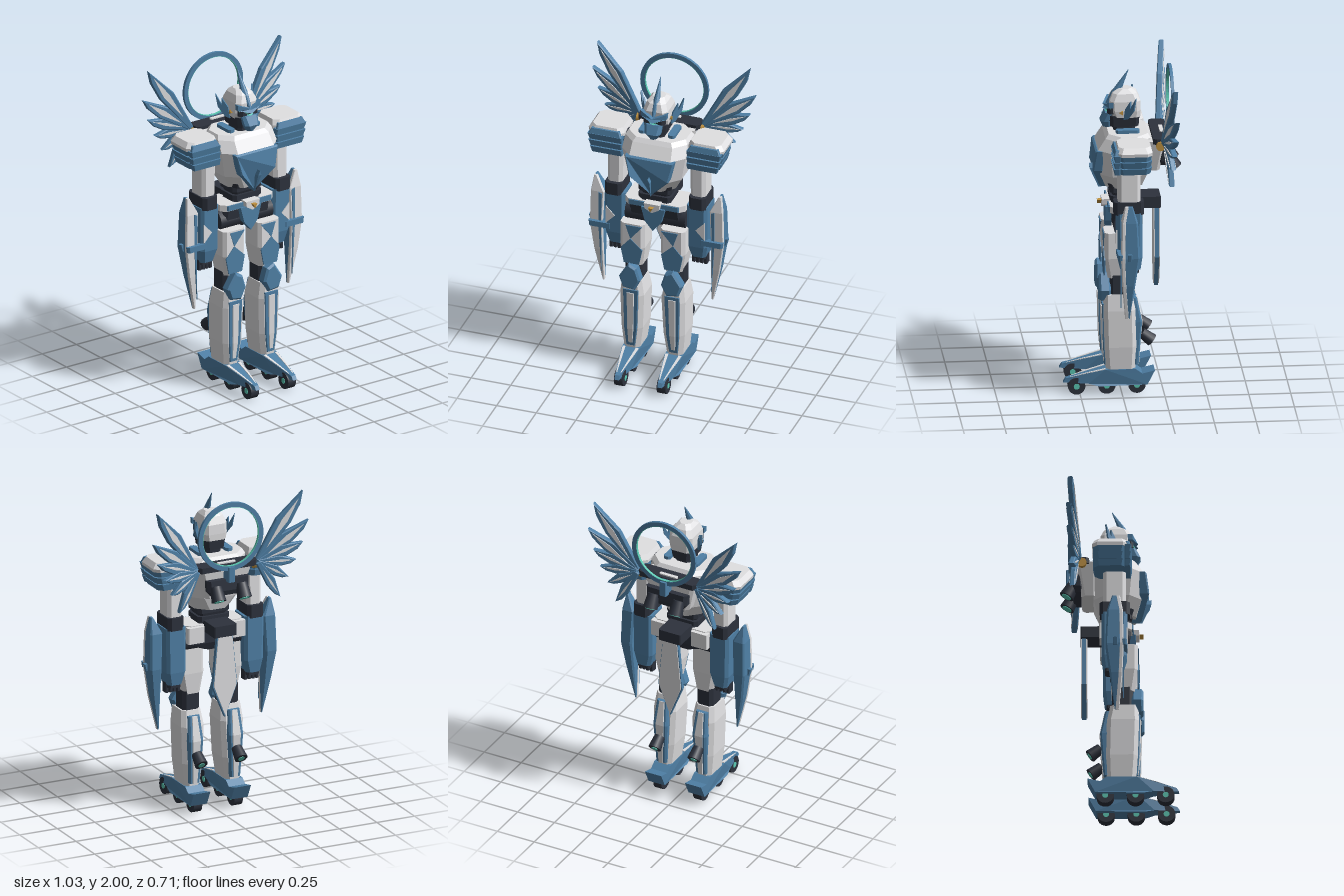
import * as THREE from 'three';

const mat = (name, color) => {
  const m = new THREE.MeshStandardMaterial({ color });
  m.name = name;
  return m;
};
const light = mat('light grey armour', 0xe0e0e2);
const blue = mat('steel blue armour', 0x4f80a6);
const dark = mat('dark frame', 0x2d323d);
const teal = mat('teal glow', 0x5cc9b4);
const gold = mat('gold fittings', 0xbf9140);

const flat = (g) => {
  const n = g.index ? g.toNonIndexed() : g;
  n.computeVertexNormals();
  return n;
};

// Moves each vertex by a rule, then restores flat normals
function bend(geometry, rule) {
  const p = geometry.attributes.position;
  const v = new THREE.Vector3();
  for (let i = 0; i < p.count; i++) {
    rule(v.fromBufferAttribute(p, i));
    p.setXYZ(i, v.x, v.y, v.z);
  }
  return flat(geometry);
}

// Chamfered rectangles [y, x0, x1, z0, z1] joined from bottom to top
function loft(sections, chamfer = 0.02) {
  const rings = sections.map(([y, x0, x1, z0, z1]) => {
    const c = Math.min(chamfer, (x1 - x0) * 0.35, (z1 - z0) * 0.35);
    return [[x1 - c, z1], [x1, z1 - c], [x1, z0 + c], [x1 - c, z0],
      [x0 + c, z0], [x0, z0 + c], [x0, z1 - c], [x0 + c, z1]].map(([x, z]) => [x, y, z]);
  });
  const p = [];
  const tri = (a, b, c) => p.push(...a, ...b, ...c);
  for (let k = 0; k < rings.length - 1; k++) {
    const a = rings[k], b = rings[k + 1];
    for (let i = 0; i < 8; i++) {
      const j = (i + 1) % 8;
      tri(a[i], a[j], b[j]);
      tri(a[i], b[j], b[i]);
    }
  }
  const bottom = rings[0], top = rings[rings.length - 1];
  for (let i = 1; i < 7; i++) {
    tri(top[0], top[i], top[i + 1]);
    tri(bottom[0], bottom[i + 1], bottom[i]);
  }
  const g = new THREE.BufferGeometry();
  g.setAttribute('position', new THREE.Float32BufferAttribute(p, 3));
  return flat(g);
}

// Outline in x, y extruded forward from z
function plate(points, z, depth, bevel = 0) {
  const shape = new THREE.Shape(points.map(([x, y]) => new THREE.Vector2(x, y)));
  const g = new THREE.ExtrudeGeometry(shape, { depth, bevelEnabled: bevel > 0,
    bevelSize: bevel, bevelThickness: bevel, bevelOffset: -bevel, bevelSegments: 1 });
  return flat(g.translate(0, 0, z));
}
// Outline in z, y extruded across x about a centre
const sidePlate = (points, x, width) =>
  plate(points, -width / 2, width).rotateY(-Math.PI / 2).translate(x, 0, 0);

// Flat ring facing z, centred on its depth
function ring(outer, inner, depth) {
  const shape = new THREE.Shape().absarc(0, 0, outer, 0, Math.PI * 2);
  shape.holes.push(new THREE.Path().absarc(0, 0, inner, 0, Math.PI * 2, true));
  return new THREE.ExtrudeGeometry(shape, { depth, bevelEnabled: false, curveSegments: 32 }).translate(0, 0, -depth / 2);
}

const box = (x0, x1, y0, y1, z0, z1, c = 0.006) => loft([[y0, x0, x1, z0, z1], [y1, x0, x1, z0, z1]], c);

function add(parent, name, geometry, material, position, rotation) {
  const m = new THREE.Mesh(geometry, material);
  m.name = name;
  if (position) m.position.set(...position);
  if (rotation) m.rotation.set(...rotation);
  parent.add(m);
}

// Reflected copy with corner order reversed
function mirror(group) {
  const out = new THREE.Group();
  out.name = group.name.replace('left', 'right');
  group.updateMatrixWorld(true);
  group.traverse((o) => {
    if (!o.isMesh) return;
    const g = o.geometry.index ? o.geometry.toNonIndexed() : o.geometry.clone();
    g.applyMatrix4(o.matrixWorld);
    for (const key of ['position', 'normal']) {
      const a = g.attributes[key].array;
      for (let i = 0; i < a.length; i += 3) a[i] *= -1;
      for (let i = 0; i < a.length; i += 9) {
        for (let k = 3; k < 6; k++) [a[i + k], a[i + k + 3]] = [a[i + k + 3], a[i + k]];
      }
    }
    add(out, o.name, g, o.material);
  });
  return out;
}

function buildHead() {
  const h = new THREE.Group();
  h.name = 'head';
  add(h, 'neck', box(-0.05, 0.05, 1.58, 1.72, -0.09, 0.04, 0.02), dark);
  add(h, 'jaw', loft([[1.64, -0.06, 0.06, -0.11, 0.06], [1.71, -0.07, 0.07, -0.115, 0.065]]), dark);
  add(h, 'helmet', loft([[1.7, -0.072, 0.072, -0.12, 0.045], [1.74, -0.078, 0.078, -0.122, 0.06],
    [1.8, -0.076, 0.076, -0.12, 0.064], [1.845, -0.06, 0.06, -0.1, 0.045], [1.87, -0.038, 0.038, -0.07, 0.01]], 0.025), light);
  add(h, 'faceMask', loft([[1.63, -0.025, 0.025, 0.05, 0.1], [1.67, -0.05, 0.05, 0.05, 0.118],
    [1.725, -0.055, 0.055, 0.04, 0.09]]), blue);
  add(h, 'eyeSocket', box(-0.068, 0.068, 1.722, 1.765, 0.03, 0.077, 0.02), dark);
  const sweep = (v) => { v.z -= Math.abs(v.x) * 0.4; };
  add(h, 'visor', bend(plate([[-0.068, 1.76], [-0.064, 1.738], [0, 1.724], [0.064, 1.738], [0.068, 1.76], [0, 1.742]], 0.08, 0.009), sweep), teal);
  add(h, 'brow', bend(plate([[-0.082, 1.8], [-0.08, 1.765], [0, 1.742], [0.08, 1.765], [0.082, 1.8],
    [0, 1.77]], 0.075, 0.028), sweep), blue);
  add(h, 'crest', loft([[1.775, -0.008, 0.008, 0.05, 0.085], [1.84, -0.021, 0.021, -0.005, 0.052],
    [1.98, -0.001, 0.001, -0.054, -0.05]], 0.02), blue);
  return h;
}

function buildTorso() {
  const t = new THREE.Group();
  t.name = 'torso';
  add(t, 'chest', loft([[1.27, -0.12, 0.12, -0.13, 0.09], [1.36, -0.17, 0.17, -0.16, 0.125],
    [1.52, -0.2, 0.2, -0.175, 0.14], [1.59, -0.195, 0.195, -0.175, 0.095], [1.615, -0.18, 0.18, -0.16, 0.075]], 0.07), light);
  // The shield curves back toward its top and its point
  const curve = (v) => { v.z -= 2 * (v.y - 1.42) ** 2; };
  add(t, 'chestShield', bend(plate([[-0.155, 1.52], [-0.125, 1.39], [0, 1.25], [0.125, 1.39], [0.155, 1.52]], 0.12, 0.045, 0.008), curve), blue);
  add(t, 'chestRidge', bend(plate([[-0.012, 1.37], [0, 1.25], [0.012, 1.37], [0, 1.4]], 0.155, 0.03), curve), blue);
  add(t, 'waist', loft([[1.15, -0.1, 0.1, -0.09, 0.06], [1.22, -0.09, 0.09, -0.08, 0.05], [1.3, -0.11, 0.11, -0.1, 0.08]]), dark);
  for (const y of [1.19, 1.24]) add(t, 'waistRing', box(-0.105, 0.105, y, y + 0.03, -0.095, 0.065, 0.02), dark);
  add(t, 'belt', box(-0.19, 0.19, 1.135, 1.175, -0.1, 0.07, 0.03), light);
  add(t, 'beltFront', box(-0.16, 0.16, 1.14, 1.172, 0.05, 0.078), blue);
  add(t, 'buckle', plate([[-0.05, 1.185], [-0.045, 1.15], [0, 1.125], [0.045, 1.15], [0.05, 1.185]], 0.06, 0.05), light);
  add(t, 'beltGem', plate([[-0.015, 1.17], [0, 1.145], [0.015, 1.17]], 0.11, 0.025), gold);
  add(t, 'pelvis', loft([[1, -0.05, 0.05, -0.07, 0.02], [1.05, -0.17, 0.17, -0.09, 0.05], [1.14, -0.16, 0.16, -0.09, 0.06]]), dark);
  add(t, 'pelvisGuard', plate([[-0.075, 1.145], [-0.05, 1.05], [0, 0.99], [0.05, 1.05], [0.075, 1.145]], 0.05, 0.04), blue);
  add(t, 'backBracket', box(-0.075, 0.075, 1.13, 1.2, -0.24, -0.08), dark);
  const tail = [[-0.05, 1.14], [-0.08, 0.82], [0, 0.62], [0.08, 0.82], [0.05, 1.14]];
  add(t, 'backSkirt', plate(tail, -0.23, 0.025), blue);
  const panel = tail.map(([x, y]) => [x * 0.93, 0.9 + (y - 0.9) * 0.96]);
  add(t, 'backSkirtPanel', plate(panel, -0.236, 0.006), light);
  add(t, 'backSkirtLining', plate(panel, -0.205, 0.006), light);
  // Backpack and halo
  add(t, 'backpackMount', loft([[1.38, -0.12, 0.12, -0.23, -0.14], [1.58, -0.175, 0.175, -0.262, -0.14]]), light);
  add(t, 'backpackLid', box(-0.195, 0.195, 1.565, 1.6, -0.28, -0.185, 0.02), dark);
  add(t, 'backpack', loft([[1.41, -0.11, 0.11, -0.28, -0.22], [1.44, -0.135, 0.135, -0.29, -0.22], [1.51, -0.14, 0.14, -0.285, -0.22]]), dark);
  add(t, 'backpackPanel', box(-0.06, 0.06, 1.6, 1.608, -0.258, -0.235), light);
  add(t, 'haloMount', box(-0.022, 0.022, 1.5, 1.595, -0.325, -0.25), blue);
  add(t, 'halo', ring(0.215, 0.187, 0.018), blue, [0, 1.785, -0.302]);
  add(t, 'haloGlow', ring(0.19, 0.184, 0.016), teal, [0, 1.785, -0.302]);
  return t;
}

function buildWing(side) {
  // Layered feathers fanned from the hub: [angle in degrees, length, half width]
  [[55.5, 0.505, 0.046], [36, 0.395, 0.042], [19, 0.3, 0.04], [-2, 0.24, 0.034], [-30, 0.22, 0.032], [-59, 0.27, 0.032]]
    .forEach(([angle, L, w], i) => {
      const feather = new THREE.Group();
      feather.name = 'feather';
      feather.position.set(0.2, 1.58, -0.247 - i * 0.003);
      feather.rotation.set(0, 0.16, THREE.MathUtils.degToRad(angle), 'YXZ');
      const outline = [[0, -0.015], [L * 0.6, -w], [L * 0.85, -w * 0.7], [L, 0], [L * 0.55, w], [0, 0.015]];
      add(feather, 'featherBlade', plate(outline, -0.011, 0.022, 0.006), blue);
      const k = i < 2 ? 1 : 0.55;
      const inlay = [[L * 0.2, 0], [L * 0.6, -w * 0.45 * k], [L * 0.9, 0], [L * 0.58, w * 0.35 * k]];
      for (const z of [-0.021, 0.017]) add(feather, 'featherInlay', plate(inlay, z, 0.004), light);
      side.add(feather);
    });
  add(side, 'wingHub', new THREE.CylinderGeometry(0.028, 0.028, 0.026, 12), gold, [0.198, 1.56, -0.228], [0, 0, Math.PI / 2]);
  add(side, 'thruster', new THREE.CylinderGeometry(0.035, 0.045, 0.09, 16), dark, [0.085, 1.43, -0.3], [0.5, 0, 0]);
  add(side, 'thrusterGlow', new THREE.CylinderGeometry(0.03, 0.03, 0.008, 16), teal, [0.085, 1.39, -0.322], [0.5, 0, 0]);
}

function buildArm(side) {
  add(side, 'shoulderJoint', new THREE.CylinderGeometry(0.06, 0.06, 0.06, 12), dark, [0.2, 1.53, -0.04], [0, 0, Math.PI / 2]);
  add(side, 'shoulderCap', loft([[1.57, 0.203, 0.425, -0.163, 0.052], [1.59, 0.203, 0.428, -0.163, 0.052],
    [1.622, 0.215, 0.405, -0.15, 0.04]], 0.03), light);
  [[1.45, 0.408], [1.493, 0.418], [1.536, 0.424]].forEach(([y, x]) => {
    add(side, 'shoulderLayer', loft([[y, 0.205, x - 0.012, -0.152, 0.04], [y + 0.04, 0.205, x, -0.16, 0.048]], 0.03), blue);
    add(side, 'shoulderFront', loft([[y, 0.205, x - 0.014, 0.03, 0.063], [y + 0.04, 0.205, x - 0.003, 0.03, 0.071]], 0.005), blue);
  });
  add(side, 'shoulderTrim', loft([[1.575, 0.21, 0.415, 0.045, 0.068], [1.608, 0.225, 0.4, 0.035, 0.058]], 0.004), blue);
  add(side, 'upperArm', loft([[1.24, 0.215, 0.31, -0.1, 0.035], [1.46, 0.21, 0.31, -0.1, 0.035]]), light);
  add(side, 'elbow', box(0.212, 0.318, 1.17, 1.25, -0.12, 0.06, 0.02), dark);
  add(side, 'forearm', loft([[0.82, 0.215, 0.305, -0.1, 0.02], [0.9, 0.195, 0.32, -0.11, 0.04], [1.18, 0.195, 0.325, -0.11, 0.045]], 0.018), blue);
  add(side, 'forearmInlay', plate([[0.312, 1.08], [0.312, 0.96], [0.255, 1.02]], 0.041, 0.007), light);
  add(side, 'hand', box(0.22, 0.3, 0.8, 0.84, -0.09, 0, 0.01), dark);
  for (let i = 0; i < 4; i++) add(side, 'finger', box(0.213 + i * 0.025, 0.233 + i * 0.025, 0.765, 0.83, -0.06, -0.01, 0.004), dark);
  // Forearm blade with a pale leading edge
  const blade = [[0.53, 0.34, 0.347, -0.03, -0.015], [0.75, 0.342, 0.395, -0.06, 0.004], [0.93, 0.345, 0.42, -0.085, 0.012],
    [1.15, 0.335, 0.415, -0.075, 0.008], [1.25, 0.385, 0.4, -0.045, -0.01]];
  add(side, 'armBlade', loft(blade, 0.01), blue);
  add(side, 'armBladeEdge', loft(blade.map(([y, a, b, , z]) => [y, a - 0.001, b + 0.001, z - 0.012, z + 0.012]), 0.004), light);
  add(side, 'armBladeLine', plate([[0.347, 0.6], [0.366, 0.93], [0.366, 1.15], [0.345, 1.14], [0.35, 0.93]], 0.018, 0.008), blue);
  add(side, 'bladeClasp', loft([[0.92, 0.28, 0.42, 0.01, 0.045], [0.955, 0.28, 0.425, 0.01, 0.045]], 0.01), blue);
  add(side, 'bladeSpike', loft([[0.915, 0.4, 0.428, -0.038, -0.012], [0.96, 0.4, 0.44, -0.038, -0.012]], 0.004), blue);
}

function buildLeg(side) {
  add(side, 'hipJoint', new THREE.CylinderGeometry(0.065, 0.065, 0.14, 12), dark, [0.12, 1.06, -0.01], [0, 0, Math.PI / 2]);
  add(side, 'hipPlate', box(0.08, 0.19, 1.07, 1.17, -0.125, -0.085), light);
  add(side, 'thigh', loft([[0.73, 0.07, 0.18, -0.05, 0.085], [0.86, 0.05, 0.205, -0.06, 0.105], [1.02, 0.05, 0.205, -0.055, 0.105]]), light);
  add(side, 'thighUpperInlay', plate([[0.06, 1.01], [0.135, 0.92], [0.165, 1.01]], 0.102, 0.008), blue);
  add(side, 'thighLowerInlay', plate([[0.06, 0.85], [0.08, 0.75], [0.175, 0.75], [0.195, 0.85], [0.135, 0.92]], 0.102, 0.008), blue);
  add(side, 'knee', box(0.075, 0.185, 0.61, 0.75, -0.05, 0.075, 0.02), dark);
  add(side, 'kneePad', plate([[0.1, 0.58], [0.175, 0.59], [0.2, 0.66], [0.14, 0.755], [0.09, 0.73], [0.065, 0.65]], 0.08, 0.045, 0.012), blue);
  add(side, 'shin', loft([[0.15, 0.085, 0.185, -0.08, 0.095], [0.3, 0.065, 0.2, -0.085, 0.105],
    [0.53, 0.055, 0.205, -0.08, 0.112], [0.63, 0.07, 0.195, -0.06, 0.11]], 0.025), light);
  add(side, 'shinStripe', loft([[0.18, 0.108, 0.162, 0.08, 0.104], [0.3, 0.092, 0.173, 0.09, 0.113], [0.57, 0.082, 0.178, 0.09, 0.119]], 0.004), blue);
  add(side, 'shinPanel', loft([[0.2, 0.122, 0.148, 0.09, 0.109], [0.3, 0.113, 0.152, 0.09, 0.118], [0.55, 0.108, 0.154, 0.09, 0.124]], 0.003), light);
  const calf = [[0.18, 0.1, 0.17, -0.1, -0.07], [0.45, 0.085, 0.18, -0.12, -0.07], [0.6, 0.095, 0.17, -0.09, -0.05]];
  add(side, 'calfPlate', loft(calf, 0.01), blue);
  add(side, 'calfPanel', loft(calf.map(([y, a, b, z]) => [y, a + 0.02, b - 0.02, z - 0.004, z + 0.004]), 0.003), light);
  add(side, 'calfThruster', new THREE.CylinderGeometry(0.032, 0.04, 0.08, 12), dark, [0.132, 0.345, -0.15], [0.9, 0, 0]);
  add(side, 'calfThrusterGlow', new THREE.CylinderGeometry(0.02, 0.02, 0.006, 12), teal, [0.132, 0.32, -0.182], [0.9, 0, 0]);
  // Foot narrows toward the toe
  const taper = (v) => { v.x *= 1 - 0.75 * THREE.MathUtils.smoothstep(v.z, 0.08, 0.36); };
  const foot = sidePlate([[0.35, 0.075], [0.335, 0.1], [0.22, 0.13], [0.1, 0.16], [-0.08, 0.16], [-0.12, 0.13], [-0.195, 0.148],
    [-0.15, 0.06], [0.14, 0.055], [0.2, 0.07]], 0, 0.11);
  add(side, 'foot', bend(foot, taper), blue, [0.135, 0, 0]);
  for (const x of [-0.042, 0.042]) {
    add(side, 'footInlay', bend(sidePlate([[0.31, 0.107], [0.22, 0.134], [0.1, 0.164], [0.1, 0.155], [0.22, 0.125], [0.31, 0.1]], x, 0.018), taper),
      light, [0.135, 0, 0]);
  }
  for (const z of [0.27, 0.09, -0.09]) {
    add(side, 'wheel', new THREE.CylinderGeometry(0.052, 0.052, 0.056, 20), dark, [0.135, 0.052, z], [0, 0, Math.PI / 2]);
    add(side, 'wheelHub', new THREE.CylinderGeometry(0.018, 0.018, 0.06, 12), teal, [0.135, 0.05, z], [0, 0, Math.PI / 2]);
  }
}

export function createModel() {
  const model = new THREE.Group();
  model.name = 'wingedRobot';
  const side = new THREE.Group();
  side.name = 'leftSide';
  buildWing(side);
  buildArm(side);
  buildLeg(side);
  // Collar block and swept ear fins
  add(side, 'collar', box(0.07, 0.115, 1.58, 1.635, -0.11, 0.03, 0.012), blue);
  add(side, 'earDisc', new THREE.CylinderGeometry(0.014, 0.014, 0.02, 3), gold, [0.08, 1.735, -0.005], [0, 0, Math.PI / 2]);
  add(side, 'earFin', plate([[0, -0.05], [0.03, -0.04], [0.075, 0.02], [0.09, 0.1], [0.05, 0.03], [0.05, 0.075], [0.012, 0.02]], -0.006, 0.012),
    blue, [0.075, 1.74, -0.02], [0, 0.85, 0]);
  model.add(buildHead(), buildTorso(), side, mirror(side));
  return model;
}
